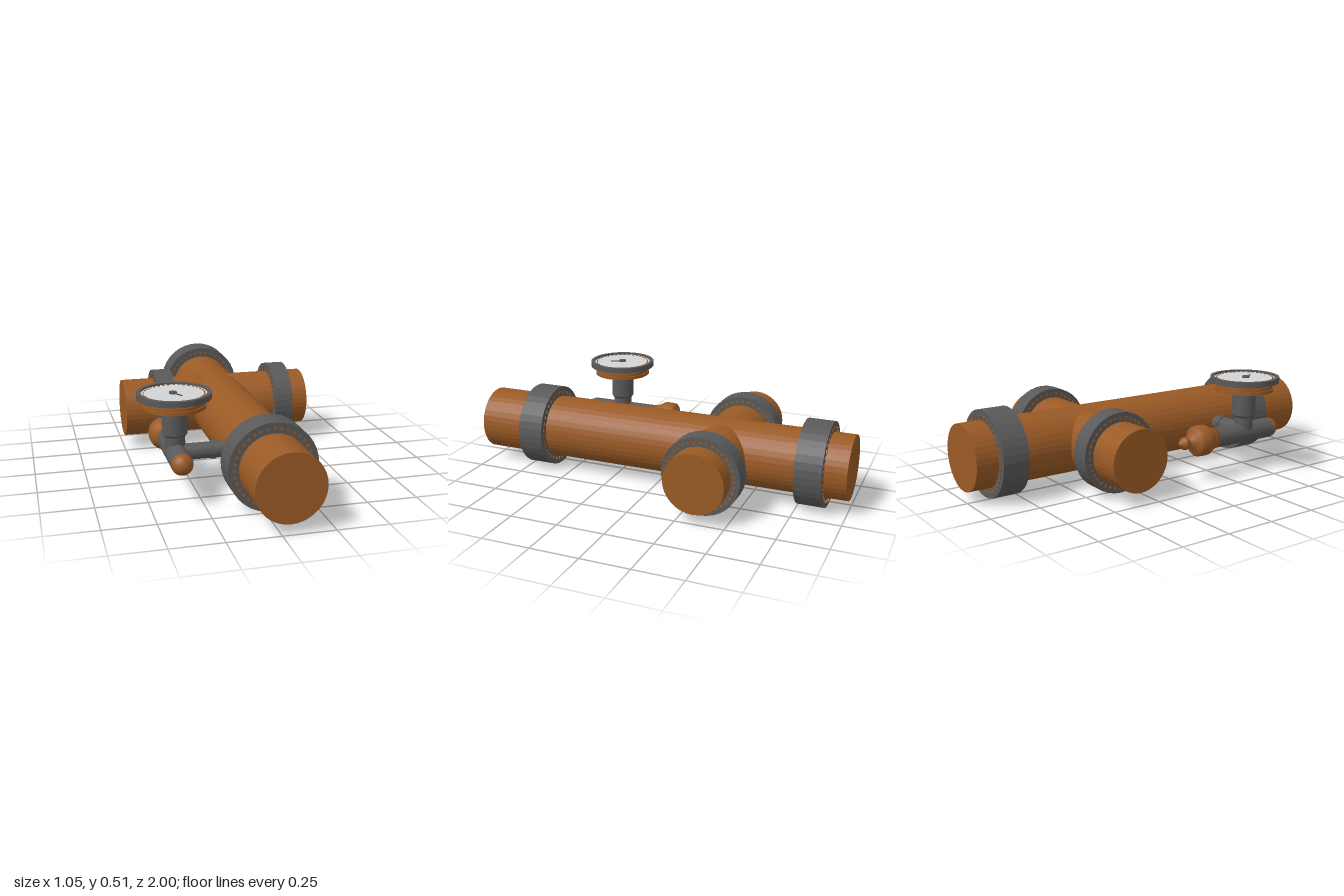
import * as THREE from 'three';

export function createModel() {
  const model = new THREE.Group();
  model.name = 'pipeCrossing';

  const material = (name, color) => {
    const m = new THREE.MeshStandardMaterial({ color });
    m.name = name;
    return m;
  };
  const copper = material('copper', 0x9a5a25);
  const iron = material('iron', 0x595959);
  const white = material('dialWhite', 0xd4d4d4);

  const add = (parent, name, geometry, mat, x = 0, y = 0, z = 0) => {
    const mesh = new THREE.Mesh(geometry, mat);
    mesh.name = name;
    mesh.position.set(x, y, z);
    parent.add(mesh);
    return mesh;
  };
  // Faceted sides: one normal per face
  const flat = (g) => {
    const f = g.toNonIndexed();
    f.computeVertexNormals();
    return f;
  };
  const cyl = (r, h, n = 36, rBottom = r) => flat(new THREE.CylinderGeometry(r, rBottom, h, n));
  const lathe = (pts, n = 32) =>
    new THREE.LatheGeometry(pts.map(([r, y]) => new THREE.Vector2(r, y)), n);

  // Pipe lying along local y, with riveted collars at the given offsets
  function pipeRun(name, radius, length, collarRadius, collars) {
    const run = new THREE.Group();
    run.name = name;
    add(run, 'pipe', cyl(radius, length), copper);
    for (const [start, end] of collars) {
      const collar = new THREE.Group();
      collar.name = 'collar';
      run.add(collar);
      add(collar, 'collarBand', cyl(collarRadius, end - start), iron, 0, (start + end) / 2, 0);
      const ring = radius + (collarRadius - radius) * 0.42;
      const rivet = flat(new THREE.CylinderGeometry(0.01, 0.01, 0.008, 3));
      for (const y of [start, end]) {
        for (let i = 0; i < 36; i++) {
          const a = (i / 36) * Math.PI * 2;
          const r = add(collar, 'rivet', rivet, copper, Math.sin(a) * ring, y, Math.cos(a) * ring);
          r.rotation.y = a + Math.PI;
        }
      }
    }
    model.add(run);
    return run;
  }

  // Main pipe along z
  const main = pipeRun('mainPipe', 0.164, 2, 0.215, [[-0.89, -0.755], [0.61, 0.745]]);
  main.rotation.x = Math.PI / 2;
  main.position.set(0.038, 0.217, 0);

  // Cross pipe along x
  const cross = pipeRun('crossPipe', 0.153, 1.02, 0.199, [[-0.412, -0.312], [0.243, 0.34]]);
  cross.rotation.z = Math.PI / 2;
  cross.position.set(0.015, 0.217, -0.35);

  // Gauge assembly, with its origin where its pipes meet
  const gauge = new THREE.Group();
  gauge.name = 'gaugeAssembly';
  gauge.position.set(-0.35, 0.209, 0.41);
  model.add(gauge);

  // Branch into the main pipe
  add(gauge, 'branchPipe', cyl(0.04, 0.26, 24), iron, 0.13, 0.003, 0.015).rotation.z = Math.PI / 2;
  add(gauge, 'branchCollar', cyl(0.045, 0.02, 24), iron, 0.18, 0.003, 0.015).rotation.z = Math.PI / 2;

  // Valve pipe with a rounded front cap
  add(gauge, 'valvePipe', cyl(0.052, 0.37, 24), iron, 0, 0, -0.015).rotation.x = Math.PI / 2;
  add(gauge, 'valveCap', new THREE.SphereGeometry(0.052, 24, 8, 0, Math.PI * 2, 0, Math.PI / 2),
    copper, 0, 0, 0.17).rotation.x = Math.PI / 2;

  // Turned valve knob at the rear
  const knob = lathe([
    [0, 0], [0.053, 0], [0.056, 0.02], [0.064, 0.04], [0.077, 0.062], [0.079, 0.085],
    [0.077, 0.12], [0.066, 0.131], [0.055, 0.134], [0.04, 0.145], [0.017, 0.158],
    [0.017, 0.162], [0.033, 0.187], [0.031, 0.2], [0.012, 0.22], [0, 0.224],
  ]);
  add(gauge, 'valveKnob', knob, copper, 0, 0, -0.2).rotation.x = -Math.PI / 2;

  // Upright stem
  add(gauge, 'lowerStem', cyl(0.049, 0.1, 24), iron, 0, 0.05, 0);
  add(gauge, 'stemBevel', cyl(0.061, 0.012, 24, 0.052), iron, 0, 0.092, 0);
  add(gauge, 'upperStem', cyl(0.061, 0.13, 24), iron, 0, 0.162, 0);

  // Stepped copper backing
  add(gauge, 'backingLower', cyl(0.151, 0.017, 36), copper, 0, 0.2345, 0);
  add(gauge, 'backingMiddle', cyl(0.145, 0.015, 36), copper, 0, 0.25, 0);
  add(gauge, 'backingUpper', cyl(0.137, 0.016, 36), copper, 0, 0.265, 0);

  // Raised rim and dial plate
  add(gauge, 'dialRim', flat(lathe([
    [0, 0.271], [0.177, 0.271], [0.177, 0.3], [0.157, 0.3], [0.157, 0.288],
  ], 40)), iron);
  add(gauge, 'dialFace', cyl(0.157, 0.008, 40), white, 0, 0.288, 0);

  // Dial marks, hub and needle
  const tick = new THREE.BoxGeometry(0.012, 0.004, 0.006);
  for (let i = 0; i < 36; i++) {
    const a = (i / 36) * Math.PI * 2;
    add(gauge, 'dialMark', tick, copper, Math.sin(a) * 0.144, 0.2925, Math.cos(a) * 0.144).rotation.y = a;
  }
  add(gauge, 'needleHub', cyl(0.019, 0.009, 16), iron, -0.006, 0.296, 0.002);
  add(gauge, 'needle', new THREE.BoxGeometry(0.007, 0.004, 0.065), iron, 0.01, 0.295, 0.032).rotation.y = 0.48;

  return model;
}
